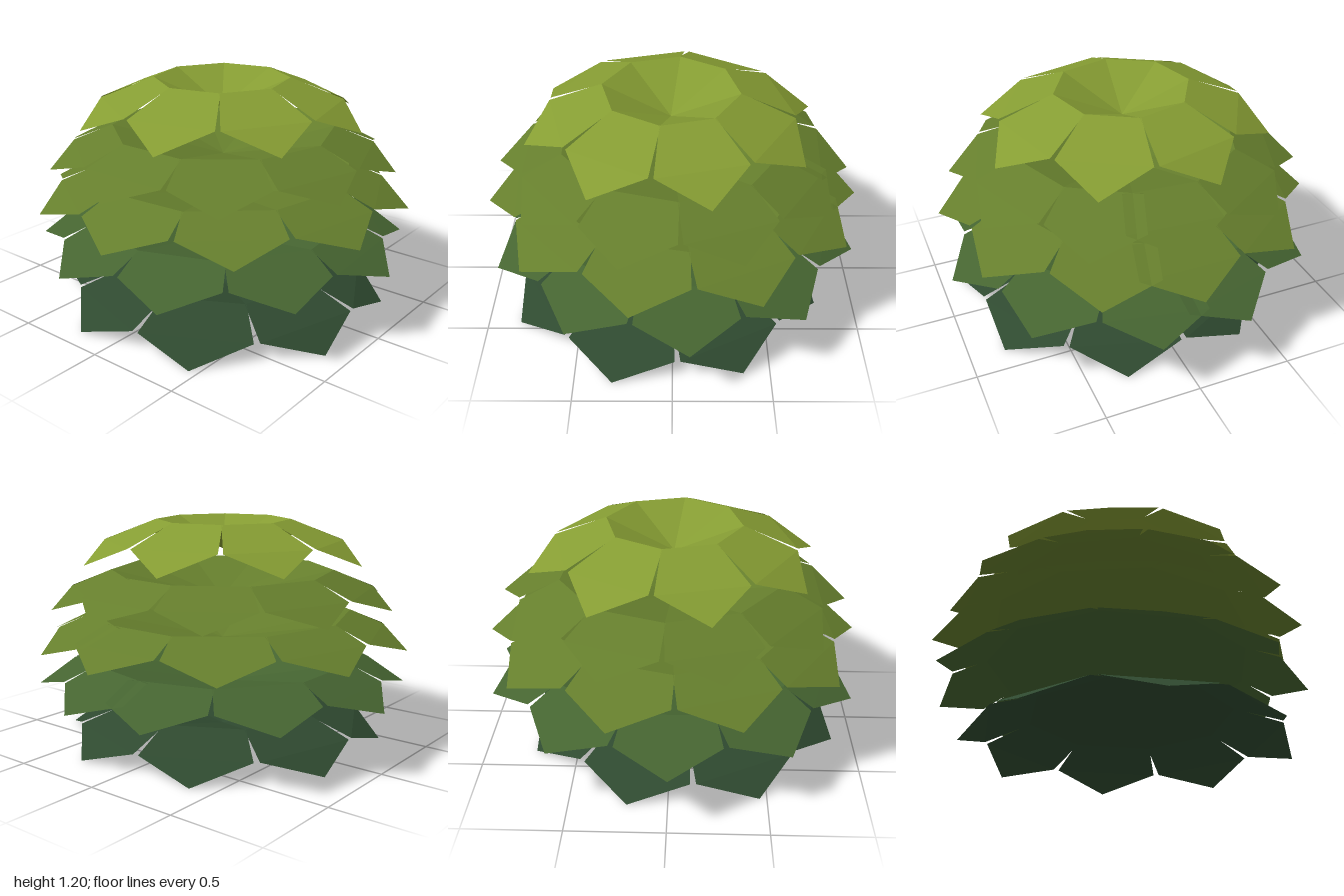
import * as THREE from 'three';

const DEG = Math.PI / 180;

// One folded leaf: a wedge rising from the tier's hub to its rim, then a pointed blade drooping outward
function leafGeometry(t) {
  const half = t.step / 2;
  const at = (r, deg, y) => [r * Math.cos(deg * DEG), y, -r * Math.sin(deg * DEG)];
  const hub = at(0, 0, t.top - t.dip);
  const rimA = at(t.rim, -half * 1.02, t.top);
  const rimB = at(t.rim, half * 1.02, t.top);
  const shoulderA = at(t.shoulder, -half * 0.95, t.mid);
  const shoulderB = at(t.shoulder, half * 0.95, t.mid);
  const tip = at(t.tip, 0, t.low);
  const triangles = [
    hub, rimA, rimB,
    rimA, shoulderA, shoulderB,
    rimA, shoulderB, rimB,
    shoulderA, tip, shoulderB,
  ];
  const geometry = new THREE.BufferGeometry();
  geometry.setAttribute('position', new THREE.Float32BufferAttribute(triangles.flat(), 3));
  geometry.computeVertexNormals();
  return geometry;
}

// Tiers from the crown down; start and step are the leaf angles in degrees
const TIERS = [
  { name: 'crownTier', color: 0x869d33, count: 8, start: 14.5, step: 45, x: -0.01, z: 0,
    top: 1.2, mid: 1.09, low: 0.985, rim: 0.36, shoulder: 0.64, tip: 0.765, dip: 0.16 },
  { name: 'upperTier', color: 0x667f2d, count: 10, start: -4, step: 36.9, x: 0, z: 0,
    top: 0.93, mid: 0.845, low: 0.765, rim: 0.6, shoulder: 0.81, tip: 0.925, dip: 0.15 },
  { name: 'middleTier', color: 0x667f2d, count: 10, start: 0, step: 36.9, x: 0, z: 0,
    top: 0.705, mid: 0.63, low: 0.55, rim: 0.7, shoulder: 0.88, tip: 1, dip: 0.15 },
  { name: 'lowerTier', color: 0x466531, count: 10, start: 16.5, step: 36.9, x: 0, z: 0,
    top: 0.46, mid: 0.385, low: 0.31, rim: 0.71, shoulder: 0.88, tip: 1, dip: 0.15 },
  { name: 'bottomTier', color: 0x2f4a30, count: 8, start: 28, step: 45, x: -0.05, z: 0.04,
    top: 0.18, mid: 0.093, low: 0, rim: 0.55, shoulder: 0.79, tip: 0.88, dip: 0.14 },
];

export function createModel() {
  const model = new THREE.Group();
  model.name = 'layeredBush';

  for (const t of TIERS) {
    const tier = new THREE.Group();
    tier.name = t.name;
    tier.position.set(t.x, 0, t.z);

    const geometry = leafGeometry(t);
    const material = new THREE.MeshStandardMaterial({
      color: t.color, flatShading: true, side: THREE.DoubleSide,
    });

    // Ring of leaves
    for (let i = 0; i < t.count; i++) {
      const leaf = new THREE.Mesh(geometry, material);
      leaf.name = 'leaf';
      leaf.rotation.y = (t.start + i * t.step) * DEG;
      tier.add(leaf);
    }
    model.add(tier);
  }
  return model;
}
